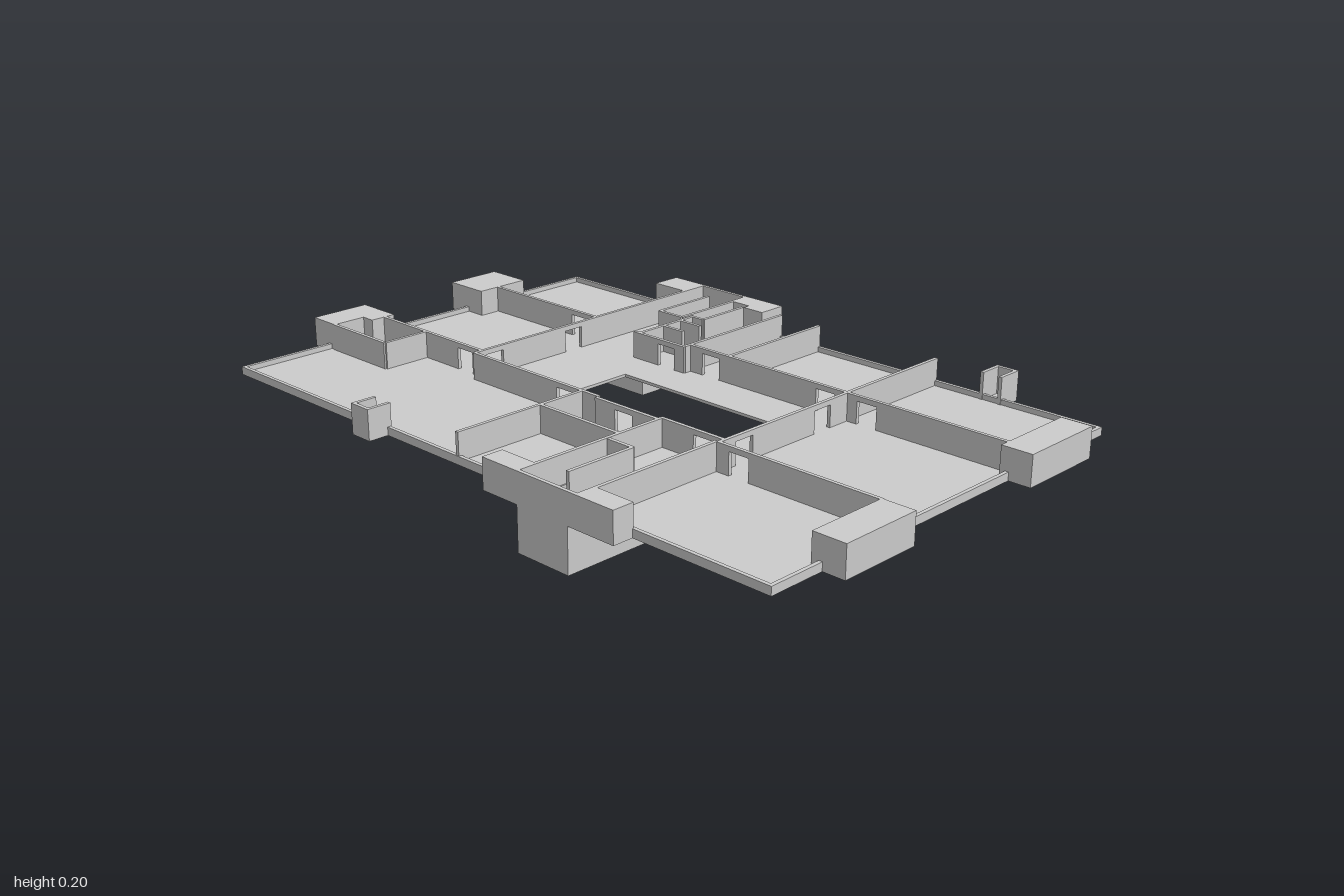
import * as THREE from 'three';

const BOTTOM = 0.118, FLOOR = 0.126, RIM = 0.14, TOP = 0.2, DOOR = 0.186, T = 0.01;

export function createModel() {
  const model = new THREE.Group();
  const material = new THREE.MeshStandardMaterial({ color: 0xcccccc, flatShading: true });

  const add = (name, geometry) => {
    const mesh = new THREE.Mesh(geometry, material);
    mesh.name = name;
    model.add(mesh);
    return mesh;
  };
  // Box given by its extents
  const box = (name, x0, x1, z0, z1, y0 = BOTTOM, y1 = TOP) =>
    add(name, new THREE.BoxGeometry(x1 - x0, y1 - y0, z1 - z0))
      .position.set((x0 + x1) / 2, (y0 + y1) / 2, (z0 + z1) / 2);

  // Plan shape: plan y is -z, so that the extrusion rises after rotation
  const rect = (P, x0, x1, z0, z1) => new P([[x0, z1], [x1, z1], [x1, z0], [x0, z0]]
    .map(([x, z]) => new THREE.Vector2(x, -z)));
  const plate = (name, outline, holes, y0, y1) => {
    const shape = rect(THREE.Shape, ...outline);
    shape.holes = holes.map(h => rect(THREE.Path, ...h));
    const g = new THREE.ExtrudeGeometry(shape, { depth: y1 - y0, bevelEnabled: false });
    add(name, g.rotateX(-Math.PI / 2).translate(0, y0, 0));
  };

  // Floor slab with courtyard and stair openings, and the low edge rim
  const outline = [-0.935, 0.94, -0.612, 0.612];
  plate('floorSlab', outline, [
    [-0.19, 0.32, -0.095, 0.09],
    [0.252, 0.325, 0.395, 0.59],
    [-0.355, -0.28, -0.59, -0.4],
  ], BOTTOM, FLOOR);
  plate('edgeRim', outline, [[-0.925, 0.93, -0.602, 0.602]], FLOOR, RIM);

  // Thin walls along x or z; each door is a [from, to] opening below a lintel
  const wall = (axis, at, from, to, doors = []) => {
    const piece = (name, a, b, y0) => axis === 'x'
      ? box(name, a, b, at - T / 2, at + T / 2, y0)
      : box(name, at - T / 2, at + T / 2, a, b, y0);
    let start = from;
    for (const [a, b] of doors) {
      piece('wall', start, a, FLOOR);
      piece('lintel', a, b, DOOR);
      start = b;
    }
    piece('wall', start, to, FLOOR);
  };

  // Walls running across
  wall('x', -0.232, -0.865, -0.445, [[-0.54, -0.48]]);
  wall('x', -0.215, -0.275, -0.085, [[-0.18, -0.12]]);
  wall('x', -0.24, -0.085, 0.92, [[-0.04, 0.02], [0.35, 0.41], [0.48, 0.54]]);
  wall('x', 0.185, -0.87, -0.445, [[-0.54, -0.48]]);
  wall('x', 0.21, -0.445, 0.03, [[-0.12, -0.06]]);
  wall('x', 0.22, 0.03, 0.24, [[0.1, 0.16]]);
  wall('x', 0.207, 0.24, 0.445, [[0.35, 0.41]]);
  wall('x', 0.227, 0.44, 0.915, [[0.48, 0.54]]);
  wall('x', 0.35, -0.03, 0.24);
  // Walls running front to back
  wall('z', -0.445, -0.67, 0.21, [[-0.17, -0.11], [0.115, 0.175]]);
  wall('z', 0.445, -0.61, 0.227, [[-0.17, -0.11], [0.115, 0.175]]);
  wall('z', 0.437, 0.227, 0.665);
  wall('z', -0.03, 0.21, 0.61);
  wall('z', 0.243, 0.21, 0.665);
  wall('z', -0.088, -0.61, -0.215);
  wall('z', 0.05, -0.61, -0.24);
  wall('z', -0.274, -0.67, -0.4);
  wall('z', -0.256, -0.43, -0.215);
  // Small closet partitions beside the rear stair
  wall('x', -0.425, -0.256, -0.215);
  wall('x', -0.375, -0.256, -0.18);
  wall('x', -0.308, -0.256, -0.18);
  wall('z', -0.215, -0.59, -0.425);
  // Partitions around the stair openings
  wall('x', 0.39, 0.25, 0.33);
  wall('z', 0.328, 0.39, 0.59);
  wall('x', -0.4, -0.36, -0.274);
  wall('z', -0.358, -0.6, -0.4);

  // Side room at the left end of the plan
  wall('x', 0.325, -0.91, -0.68);
  wall('z', -0.68, 0.185, 0.325);

  // Solid outer piers
  for (const extents of [
    [-1, -0.865, -0.33, -0.165],
    [-1, -0.865, 0.155, 0.23],
    [-1, -0.905, 0.23, 0.328],
    [0.915, 1, -0.46, -0.21],
    [0.91, 1, 0.225, 0.455],
    [-0.56, -0.44, -0.675, -0.588],
    [-0.275, -0.21, -0.675, -0.61],
    [-0.21, -0.14, -0.675, -0.588],
    [0.13, 0.243, 0.608, 0.668],
    [0.437, 0.552, 0.608, 0.668],
  ]) box('pier', ...extents);

  // Shallow three-sided niches on the long edges, open toward the rooms
  const niche = (x0, x1, zIn, zOut) => {
    const a = Math.min(zIn, zOut), b = Math.max(zIn, zOut), s = Math.sign(zOut);
    box('nicheFloor', x0, x1, a, b, BOTTOM, FLOOR);
    box('nicheSide', x0, x0 + T, a, b);
    box('nicheSide', x1 - T, x1, a, b);
    box('nicheBack', x0, x1, ...(s > 0 ? [b - T, b] : [a, a + T]));
  };
  niche(0.59, 0.655, -0.6, -0.675);
  niche(-0.362, -0.295, 0.6, 0.668);

  // Stairwells hanging below the slab, with a flight descending outward
  const stairwell = (x0, x1, s, y0, f0, f1) => {
    const across = (name, a, b, xa, xb, lo, hi) =>
      box(name, xa, xb, Math.min(s * a, s * b), Math.max(s * a, s * b), lo, hi);
    across('wellBase', 0.24, 0.668, x0, x1, y0, y0 + T);
    across('wellSide', 0.24, 0.668, x0, x0 + T / 2, y0, BOTTOM);
    across('wellSide', 0.24, 0.668, x1 - T / 2, x1, y0, BOTTOM);
    across('wellEnd', 0.24, 0.245, x0, x1, y0, BOTTOM);
    across('wellEnd', 0.663, 0.668, x0, x1, y0, BOTTOM);
    for (let i = 0; i < 8; i++) {
      const a = 0.4 + i * 0.024;
      across('stairStep', a, a + 0.024, f0, f1, y0 + T, BOTTOM - 0.01 - i * 0.011);
    }
  };
  stairwell(0.245, 0.41, 1, 0, 0.252, 0.325);
  stairwell(-0.435, -0.27, -1, 0.008, -0.355, -0.28);

  // Landings and outer walls closing the stair bays
  box('landing', 0.243, 0.437, 0.605, 0.668, BOTTOM, FLOOR);
  box('bayWall', 0.243, 0.437, 0.658, 0.668);
  box('landing', -0.445, -0.275, -0.675, -0.605, BOTTOM, FLOOR);
  box('bayWall', -0.445, -0.275, -0.675, -0.665);

  return model;
}
